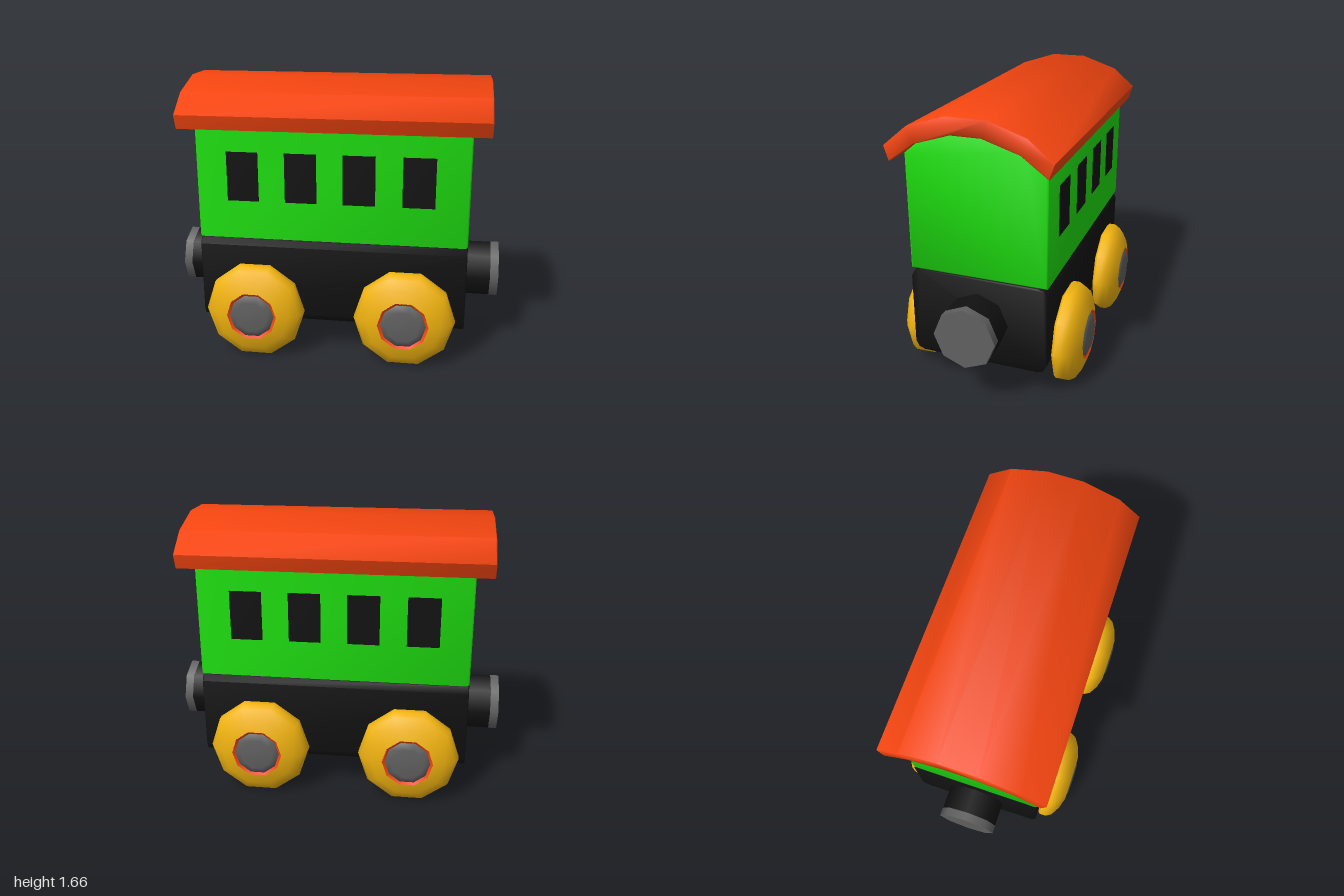
import * as THREE from 'three';
import { toCreasedNormals } from 'three/addons/utils/BufferGeometryUtils.js';

const mat = (color) => new THREE.MeshStandardMaterial({ color });
const black = mat(0x111111), green = mat(0x1edc10), red = mat(0xf2440f);
const yellow = mat(0xf2b40f), grey = mat(0x606060);

function add(parent, name, geometry, material, x = 0, y = 0, z = 0) {
  const mesh = new THREE.Mesh(geometry, material);
  mesh.name = name;
  mesh.position.set(x, y, z);
  parent.add(mesh);
  return mesh;
}

// Extrudes a (z, y) profile along x, centred, with slightly eased edges
function extrudeAlongX(points, length, bevel) {
  const shape = new THREE.Shape(points.map(([z, y]) => new THREE.Vector2(z, y)));
  const g = new THREE.ExtrudeGeometry(shape, {
    depth: length - 2 * bevel, bevelEnabled: true, bevelThickness: bevel,
    bevelSize: bevel, bevelOffset: -bevel, bevelSegments: 1,
  });
  g.translate(0, 0, -length / 2 + bevel);
  g.rotateY(Math.PI / 2);
  return toCreasedNormals(g, 0.84);
}

// Mirrors the right half of a profile onto the left
const mirrored = (half) => [...half, ...half.map(([z, y]) => [-z, y]).reverse()];

// Ten-sided turned part, its axis along z
function turned(points) {
  const g = new THREE.LatheGeometry(points.map(([r, z]) => new THREE.Vector2(r, z)), 10, Math.PI / 2);
  g.rotateX(Math.PI / 2);
  return g;
}

export function createModel() {
  const model = new THREE.Group();
  model.name = 'toyRailwayCarriage';

  // Chassis block with rounded long edges
  const chassis = mirrored([
    [0.35, 0.2], [0.385, 0.212], [0.405, 0.25], [0.405, 0.68], [0.385, 0.718], [0.35, 0.73],
  ]);
  add(model, 'chassis', extrudeAlongX(chassis, 1.6, 0.004), black);

  // Cabin with arched top
  const cabin = mirrored([[0.405, 0.73], [0.405, 1.41], [0.29, 1.505], [0.09, 1.567]]);
  add(model, 'cabin', extrudeAlongX(cabin, 1.6, 0.01), green);

  // Curved roof shell
  const outer = [[0.468, 1.475], [0.33, 1.59], [0.11, 1.663]];
  const inner = [[0.44, 1.39], [0.29, 1.5], [0.085, 1.565]];
  const roof = [...mirrored(outer), ...mirrored(inner).reverse()];
  add(model, 'roof', extrudeAlongX(roof, 1.8, 0.004), red);

  // Windows on both long sides
  const pane = new THREE.BoxGeometry(0.188, 0.295, 0.02);
  for (const side of [1, -1])
    for (const x of [-0.523, -0.178, 0.165, 0.51])
      add(model, 'window', pane, black, x, 1.11, side * 0.398);

  // Octagonal couplers at both ends
  const stem = new THREE.CylinderGeometry(0.178, 0.178, 0.16, 8).rotateZ(Math.PI / 2);
  const plate = new THREE.CylinderGeometry(0.18, 0.18, 0.05, 8).rotateZ(Math.PI / 2);
  for (const end of [1, -1]) {
    add(model, 'couplerStem', stem, black, end * 0.87, 0.46);
    add(model, 'couplerPlate', plate, grey, end * 0.975, 0.46);
  }

  // Wheels: rounded tyre, recessed ring, domed hub cap
  const tyre = toCreasedNormals(turned([
    [0, 0.41], [0.285, 0.41], [0.3, 0.425], [0.3, 0.465], [0.278, 0.5], [0.22, 0.535], [0.15, 0.556],
  ]), 0.84);
  const ring = turned([[0.128, 0.54], [0.151, 0.556]].reverse());
  const cap = turned([[0.134, 0.53], [0.134, 0.55], [0.095, 0.565], [0, 0.567]]);
  const axle = new THREE.CylinderGeometry(0.08, 0.08, 0.9, 10).rotateX(Math.PI / 2);
  for (const x of [-0.46, 0.445]) {
    add(model, 'axle', axle, grey, x, 0.285);
    for (const side of [1, -1]) {
      const wheel = new THREE.Group();
      wheel.name = 'wheel';
      add(wheel, 'tyre', tyre, yellow);
      add(wheel, 'hubRing', ring, red);
      add(wheel, 'hubCap', cap, grey);
      wheel.position.set(x, 0.285, 0);
      if (side < 0) wheel.rotation.y = Math.PI;
      model.add(wheel);
    }
  }
  return model;
}
